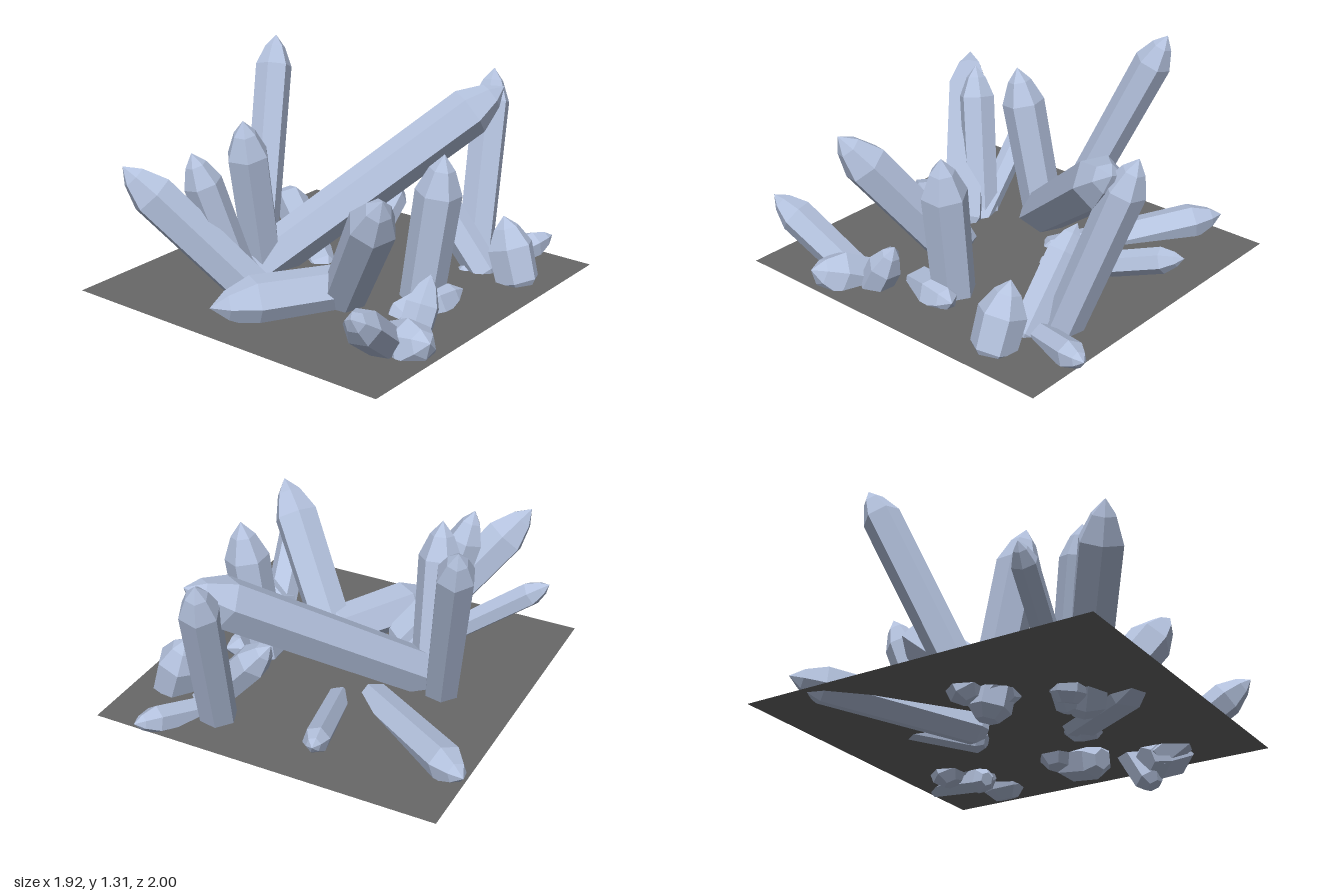
import * as THREE from 'three';

const crystalMat = new THREE.MeshStandardMaterial({ color: 0xb4c2de, flatShading: true });
crystalMat.name = 'pale blue crystal';
const groundMat = new THREE.MeshStandardMaterial({ color: 0x686868, side: THREE.DoubleSide });
groundMat.name = 'grey ground';

// Six-sided crystal from its foot (x, z) to its tip: bevelled foot, straight shaft, long point
function addCrystal(group, name, [footX, footZ], tip, r, footY = 0.14) {
  const foot = new THREE.Vector3(footX, footY, footZ);
  const axis = new THREE.Vector3(...tip).sub(foot);
  const length = axis.length();
  const cap = Math.min(1.7 * r, length * 0.4);
  const profile = [
    new THREE.Vector2(0, 0),
    new THREE.Vector2(0.5 * r, 0),
    new THREE.Vector2(0.95 * r, 0.5 * r),
    new THREE.Vector2(r, length - cap),
    new THREE.Vector2(0.55 * r, length - cap * 0.38),
    new THREE.Vector2(0, length),
  ];
  const mesh = new THREE.Mesh(new THREE.LatheGeometry(profile, 6), crystalMat);
  mesh.name = name;
  mesh.position.copy(foot);
  mesh.quaternion.setFromUnitVectors(new THREE.Vector3(0, 1, 0), axis.normalize());
  // Turn each crystal a little differently about its own axis
  mesh.rotateY(group.children.length * 0.37);
  group.add(mesh);
}

function leftCluster() {
  const g = new THREE.Group();
  g.name = 'crystalsOnRightHandSide';
  addCrystal(g, 'greatLeaningCrystal', [-0.46, 0.24], [0.39, 1.1, -0.9], 0.135, 0.17);
  addCrystal(g, 'tallCrystal', [-0.51, 0.11], [-0.77, 1.31, -0.37], 0.1);
  addCrystal(g, 'uprightCrystal', [-0.43, 0.14], [-0.39, 1.06, 0.34], 0.115, 0.06);
  addCrystal(g, 'frontCrystal', [-0.08, 0.47], [-0.66, 0.92, 0.93], 0.12);
  addCrystal(g, 'uprightFrontCrystal', [-0.25, 0.48], [-0.43, 0.97, 0.68], 0.1);
  addCrystal(g, 'slenderCrystal', [-0.16, 0.44], [-0.9, 0.68, 0.6], 0.068);
  addCrystal(g, 'lowCrystal', [-0.16, -0.04], [-0.96, 0.28, -0.65], 0.1);
  return g;
}

function backCluster() {
  const g = new THREE.Group();
  g.name = 'crystalsAtBack';
  addCrystal(g, 'lowBackCrystal', [-0.03, -0.12], [-0.27, 0.38, -0.88], 0.07);
  addCrystal(g, 'uprightBackCrystal', [0.41, -0.62], [0.28, 1.17, -0.97], 0.105);
  addCrystal(g, 'lowCornerCrystal', [0.44, -0.42], [0.68, 0.28, -0.99], 0.075);
  addCrystal(g, 'tiltedBackCrystal', [0.58, -0.52], [0.15, 0.63, -0.52], 0.095);
  addCrystal(g, 'stoutBackCrystal', [0.78, -0.5], [0.65, 0.53, -0.52], 0.125);
  return g;
}

function frontCluster() {
  const g = new THREE.Group();
  g.name = 'crystalsAtFrontAndLeftHandSide';
  addCrystal(g, 'uprightSideCrystal', [0.49, 0], [0.6, 0.99, -0.03], 0.12);
  addCrystal(g, 'shortSideCrystal', [0.5, 0.26], [0.66, 0.25, -0.14], 0.11);
  addCrystal(g, 'leaningFrontCrystal', [0.18, 0.26], [0.69, 0.95, 0.6], 0.125, 0.18);
  addCrystal(g, 'lyingFrontCrystal', [0.23, 0.22], [-0.15, 0.28, 0.88], 0.135, 0.27);
  addCrystal(g, 'smallSideCrystal', [0.71, 0.45], [0.7, 0.46, 0.21], 0.09, 0.02);
  addCrystal(g, 'cornerCrystal', [0.67, 0.45], [0.81, 0.54, 0.99], 0.095);
  addCrystal(g, 'stoutCornerCrystal', [0.62, 0.45], [0.95, 0.3, 0.57], 0.13);
  return g;
}

export function createModel() {
  const model = new THREE.Group();
  model.name = 'crystalCluster';

  // Flat ground sheet the crystals pierce
  const ground = new THREE.Mesh(new THREE.PlaneGeometry(1.9, 1.92), groundMat);
  ground.name = 'ground';
  ground.rotation.x = -Math.PI / 2;
  ground.position.set(0.01, 0.2, 0.04);
  model.add(ground, leftCluster(), backCluster(), frontCluster());
  return model;
}
